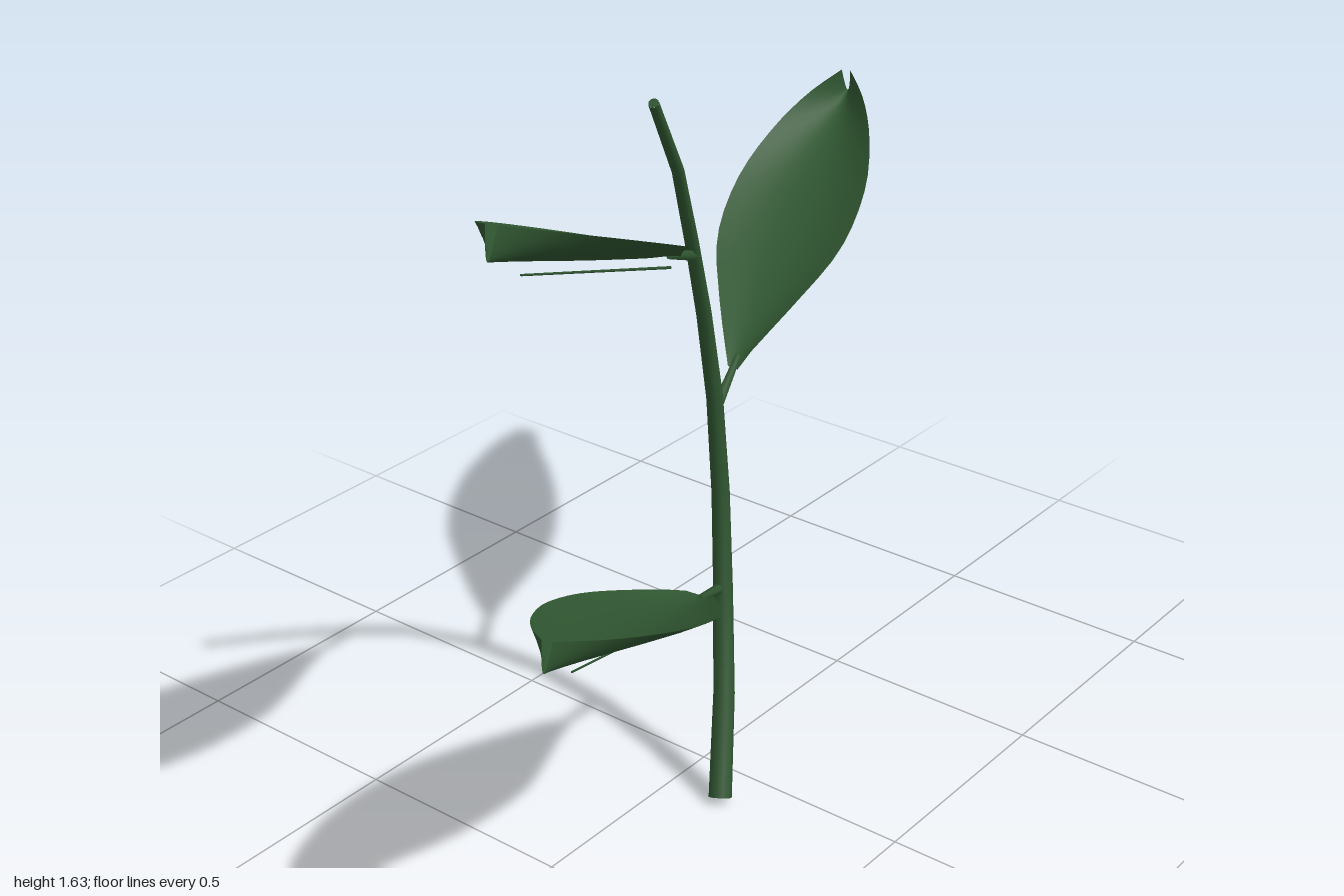
import * as THREE from 'three';

const stemMat = new THREE.MeshStandardMaterial({ name: 'stem green', color: 0x2f5530 });
const leafMat = new THREE.MeshStandardMaterial({ name: 'leaf green', color: 0x2f5530, side: THREE.DoubleSide });

const LEAF_START = 0.12, LEAF_END = 1.045;

// Tapered, gently bent stem with closed ends
function makeStem() {
  const path = new THREE.CatmullRomCurve3([
    [-0.11, 0.01, 0.13], [-0.02, 0.21, 0.07], [0.04, 0.41, 0.02],
    [0.07, 0.61, -0.01], [0.065, 0.81, -0.02], [0.02, 1.01, -0.01],
    [-0.07, 1.21, 0.03], [-0.18, 1.41, 0.085], [-0.315, 1.6, 0.135],
  ].map((p) => new THREE.Vector3(...p)));
  const rings = 8, sides = 8;
  const radius = (t) => 0.025 - 0.015 * t;
  const geo = new THREE.TubeGeometry(path, rings, 1, sides);
  const pos = geo.attributes.position, v = new THREE.Vector3();
  for (let i = 0; i < pos.count; i++) {
    const t = Math.floor(i / (sides + 1)) / rings, c = path.getPointAt(t);
    v.fromBufferAttribute(pos, i).sub(c).multiplyScalar(radius(t)).add(c);
    pos.setXYZ(i, v.x, v.y, v.z);
  }
  const stem = new THREE.Group();
  stem.name = 'stem';
  const body = new THREE.Mesh(geo, stemMat);
  body.name = 'stemBody';
  stem.add(body);
  for (const t of [0, 1]) {
    const cap = new THREE.Mesh(new THREE.CircleGeometry(radius(t), sides), stemMat);
    const out = path.getTangentAt(t).multiplyScalar(t ? 1 : -1);
    cap.position.copy(path.getPointAt(t));
    cap.quaternion.setFromUnitVectors(new THREE.Vector3(0, 0, 1), out);
    cap.name = t ? 'stemTip' : 'stemFoot';
    stem.add(cap);
  }
  return stem;
}

// Trough-shaped blade: half-width and edge lift vary along the length, folding shut at the tip
function makeBlade() {
  const outline = new THREE.SplineCurve([
    [0, 0.012], [0.19, 0.082], [0.38, 0.138], [0.58, 0.145],
    [0.76, 0.113], [0.9, 0.065], [1, 0.01],
  ].map((p) => new THREE.Vector2(...p)));
  const along = 20, across = 10;
  const geo = new THREE.PlaneGeometry(1, 1, across, along);
  const pos = geo.attributes.position;
  for (let i = 0; i < pos.count; i++) {
    const s = pos.getX(i) * 2;
    const p = outline.getPoint(0.5 - pos.getY(i));
    const lift = 0.058 * Math.sqrt(p.x);
    pos.setXYZ(i, LEAF_START + p.x * (LEAF_END - LEAF_START), lift * s * s, -s * p.y);
  }
  geo.computeVertexNormals();
  return geo;
}

// Thin rod lying along +x
function rod(name, r0, r1, x0, x1, y, mat) {
  const geo = new THREE.CylinderGeometry(r1, r0, x1 - x0, 6).rotateZ(-Math.PI / 2);
  const mesh = new THREE.Mesh(geo, mat);
  mesh.position.set((x0 + x1) / 2, y, 0);
  mesh.name = name;
  return mesh;
}

export function createModel() {
  const model = new THREE.Group();
  model.name = 'leafyTwig';
  model.add(makeStem());

  // Alternating leaves: node position and half turn
  const bladeGeo = makeBlade();
  const leaves = [
    ['lowerLeaf', [0.04, 0.41, 0.015], Math.PI],
    ['middleLeaf', [0.068, 0.81, -0.02], 0],
    ['upperLeaf', [-0.07, 1.205, 0.03], Math.PI],
  ];
  for (const [name, node, turn] of leaves) {
    const leaf = new THREE.Group();
    leaf.name = name;
    const blade = new THREE.Mesh(bladeGeo, leafMat);
    blade.name = 'blade';
    leaf.add(
      blade,
      rod('leafStalk', 0.012, 0.007, 0, 0.15, 0, stemMat),
      rod('midrib', 0.003, 0.002, 0.138, 0.9, -0.022, stemMat),
    );
    leaf.position.set(...node);
    leaf.rotation.set(0, 0.344 + turn, 0.362);
    model.add(leaf);
  }
  return model;
}
